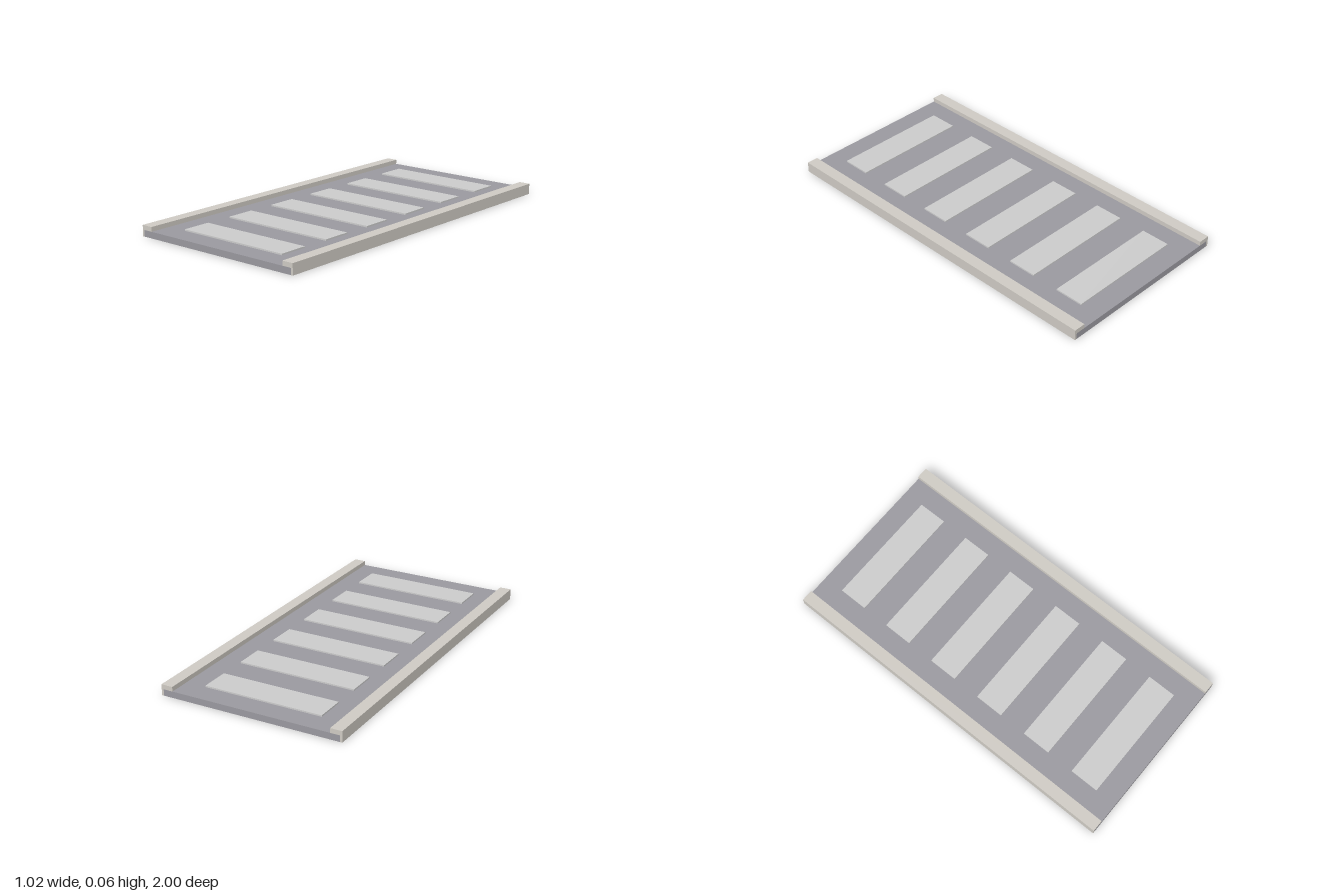
import * as THREE from 'three';

const LENGTH = 2;
const DECK_HALF = 0.5, DECK_TOP = 0.035;
const CURB_OUT = 0.512, CURB_IN = 0.447, CURB_TOP = 0.06;

export function createModel() {
  const model = new THREE.Group();
  const deckMat = new THREE.MeshStandardMaterial({ color: 0x9a999f });
  const curbMat = new THREE.MeshStandardMaterial({ color: 0xcecac3 });
  const stripeMat = new THREE.MeshStandardMaterial({ color: 0xcccccc });

  const add = (name, geometry, material, x, y, z) => {
    const mesh = new THREE.Mesh(geometry, material);
    mesh.name = name;
    mesh.position.set(x, y, z);
    model.add(mesh);
    return mesh;
  };

  // Flat road deck
  add('deck', new THREE.BoxGeometry(DECK_HALF * 2, DECK_TOP, LENGTH), deckMat, 0, DECK_TOP / 2, 0);

  // Curbs: an L section that sits on the deck edge and covers its side
  for (const s of [1, -1]) {
    const section = new THREE.Shape([
      [DECK_HALF, 0], [CURB_OUT, 0], [CURB_OUT, CURB_TOP],
      [CURB_IN, CURB_TOP], [CURB_IN, DECK_TOP], [DECK_HALF, DECK_TOP],
    ].map(([x, y]) => new THREE.Vector2(s * x, y)));
    const geometry = new THREE.ExtrudeGeometry(section, { depth: LENGTH, bevelEnabled: false });
    add(s > 0 ? 'leftCurb' : 'rightCurb', geometry, curbMat, 0, 0, -LENGTH / 2);
  }

  // Raised crossing stripes, evenly spaced along the deck
  const stripeHeight = 0.008;
  const stripe = new THREE.BoxGeometry(0.666, stripeHeight, 0.163);
  for (let i = 0; i < 6; i++) {
    add(`stripe${i + 1}`, stripe, stripeMat, 0, DECK_TOP + stripeHeight / 2, (i - 2.5) * 0.319);
  }

  return model;
}
